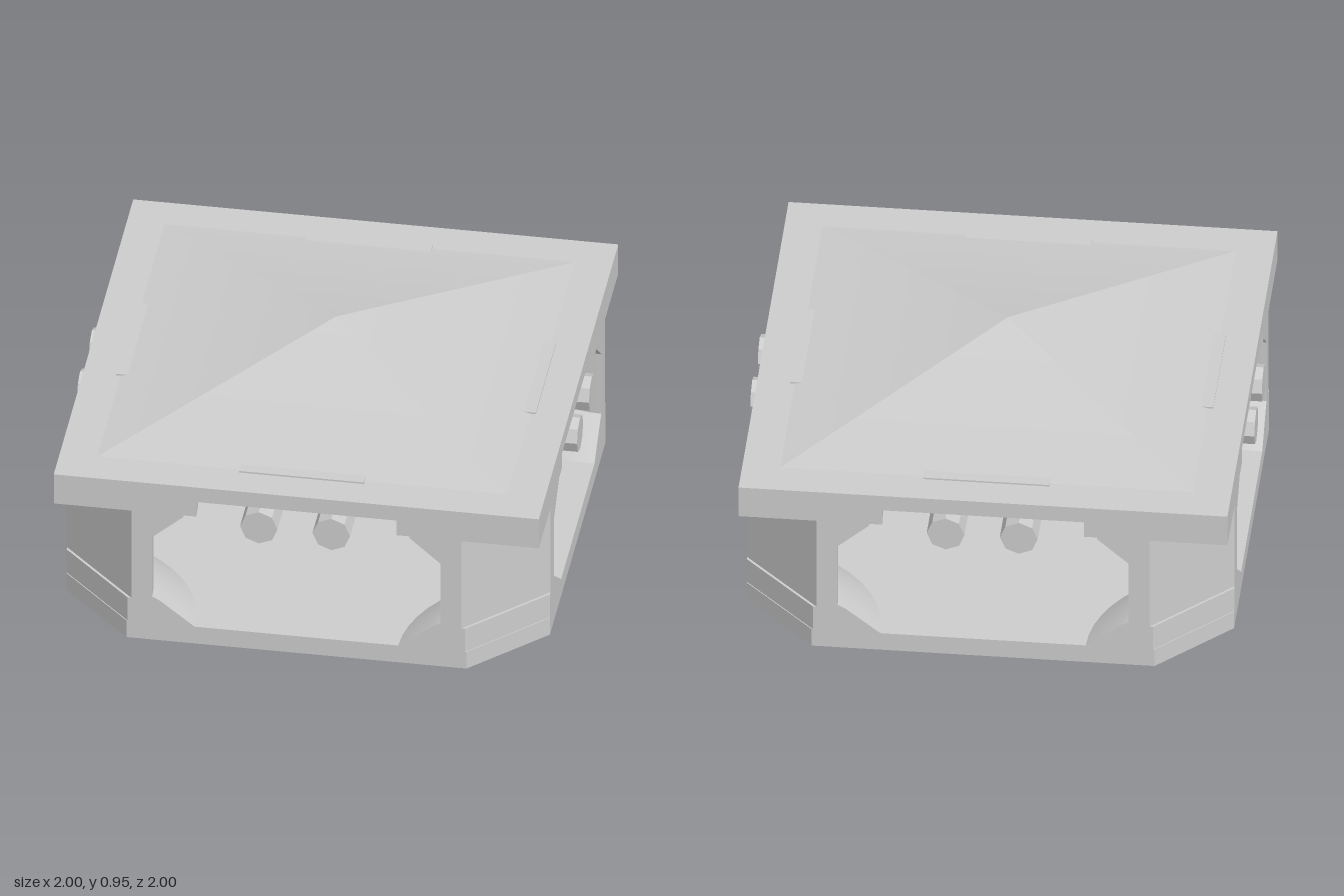
import * as THREE from 'three';
import { toCreasedNormals } from 'three/addons/utils/BufferGeometryUtils.js';

const stone = new THREE.MeshStandardMaterial({ color: 0xcccccc });
stone.name = 'pale grey stone';

function add(parent, name, geometry) {
  const mesh = new THREE.Mesh(geometry, stone);
  mesh.name = name;
  parent.add(mesh);
  return mesh;
}

function fromTriangles(positions) {
  const g = new THREE.BufferGeometry();
  g.setAttribute('position', new THREE.Float32BufferAttribute(positions, 3));
  g.computeVertexNormals();
  return g;
}

// Corner loft: a quarter round faces the middle, a chamfer the outside.
// Each level is [height, radius of the round, start of the chamfer].
function cornerLoft(levels, half) {
  const steps = 12;
  const rings = levels.map(([y, r, a]) => {
    const ring = [];
    for (let i = 0; i <= steps; i++) {
      const t = (i / steps) * Math.PI / 2;
      ring.push([half - r * Math.cos(t), y, half - r * Math.sin(t)]);
    }
    ring.push([half, y, a], [a, y, half]);
    return ring;
  });
  const out = [];
  for (let k = 0; k + 1 < rings.length; k++) {
    const lo = rings[k], hi = rings[k + 1], n = lo.length;
    for (let i = 0; i < n; i++) {
      const j = (i + 1) % n;
      out.push(...lo[i], ...hi[i], ...hi[j], ...lo[i], ...hi[j], ...lo[j]);
    }
  }
  return toCreasedNormals(fromTriangles(out), 0.65);
}

// Shallow pyramid on a flat rim; ridges are sharp at the tip and soften outward
function roofTop() {
  const pos = [], nor = [];
  const rim = 0.97, foot = 0.82, low = 0.75, tip = 0.955;
  const up = [0, 1, 0];
  const slope = new THREE.Vector3(0, foot, tip - low).normalize();
  for (let k = 0; k < 4; k++) {
    const put = (x, y, z, n) => {
      const axis = new THREE.Vector3(0, 1, 0), q = k * Math.PI / 2;
      pos.push(...new THREE.Vector3(x, y, z).applyAxisAngle(axis, q).toArray());
      nor.push(...new THREE.Vector3(...n).applyAxisAngle(axis, q).toArray());
    };
    const s = slope.toArray();
    const soft = slope.clone().add(new THREE.Vector3(0, 1, 0)).normalize().toArray();
    put(0, tip, 0, s); put(-foot, low, foot, soft); put(foot, low, foot, soft);
    put(-foot, low, foot, up); put(-rim, low, rim, up); put(rim, low, rim, up);
    put(-foot, low, foot, up); put(rim, low, rim, up); put(foot, low, foot, up);
  }
  const g = new THREE.BufferGeometry();
  g.setAttribute('position', new THREE.Float32BufferAttribute(pos, 3));
  g.setAttribute('normal', new THREE.Float32BufferAttribute(nor, 3));
  return g;
}

export function createModel() {
  const model = new THREE.Group();
  model.name = 'pavilion';
  const H = 0.967;

  // Floor: a square slab with cut corners
  const a = 0.68;
  const plan = new THREE.Shape([
    [a, H], [-a, H], [-H, a], [-H, -a], [-a, -H], [a, -H], [H, -a], [H, a],
  ].map(([x, y]) => new THREE.Vector2(x, y)));
  add(model, 'floorSlab', new THREE.ExtrudeGeometry(plan, { depth: 0.08, bevelEnabled: false })
    .rotateX(-Math.PI / 2));

  // Roof slab and pyramid
  const slab = add(model, 'roofSlab', new THREE.BoxGeometry(1.94, 0.069, 1.94));
  slab.position.y = 0.7145;
  add(model, 'roofPyramid', roofTop());

  // Corner posts flare at foot and head; a block joins each to the roof
  const post = cornerLoft([
    [0.08, 0.56, 0.675], [0.19, 0.42, 0.675], [0.19, 0.42, 0.66], [0.205, 0.39, 0.66],
    [0.49, 0.39, 0.66], [0.6, 0.515, 0.66], [0.61, 0.515, 0.66],
  ], H);
  const block = cornerLoft([[0.61, 0.01, 0.97], [0.61, 0.57, 0.97], [0.685, 0.57, 0.97]], 0.97);

  // Bent pipe that leaves the side and turns up into the roof
  const bend = new THREE.CurvePath();
  const v = (y, z) => new THREE.Vector3(0, y, z);
  bend.add(new THREE.LineCurve3(v(0.605, 1), v(0.605, 0.78)));
  bend.add(new THREE.QuadraticBezierCurve3(v(0.605, 0.78), v(0.605, 0.68), v(0.7, 0.64)));
  const pipe = new THREE.TubeGeometry(bend, 10, 0.075, 8).toNonIndexed();
  pipe.computeVertexNormals();
  const cap = new THREE.CircleGeometry(0.075, 8);

  // Bracket under the roof edge; its top edge shows as a thin rib on the roof
  const profile = new THREE.Shape([
    [0.84, 0.757], [0.78, 0.757], [0.74, 0.635], [0.78, 0.635], [0.84, 0.68],
  ].map(([z, y]) => new THREE.Vector2(z, y)));
  const bracket = new THREE.ExtrudeGeometry(profile, { depth: 0.5, bevelEnabled: false })
    .translate(0, 0, -0.25).rotateY(-Math.PI / 2);

  for (let k = 0; k < 4; k++) {
    const side = new THREE.Group();
    side.name = 'side' + (k + 1);
    side.rotation.y = k * Math.PI / 2;
    add(side, 'cornerPost', post);
    add(side, 'cornerBlock', block);
    add(side, 'pipeBracket', bracket);
    for (const x of [-0.145, 0.145]) {
      add(side, 'pipe', pipe).position.x = x;
      add(side, 'pipeEnd', cap).position.set(x, 0.605, 1);
    }
    model.add(side);
  }
  return model;
}
